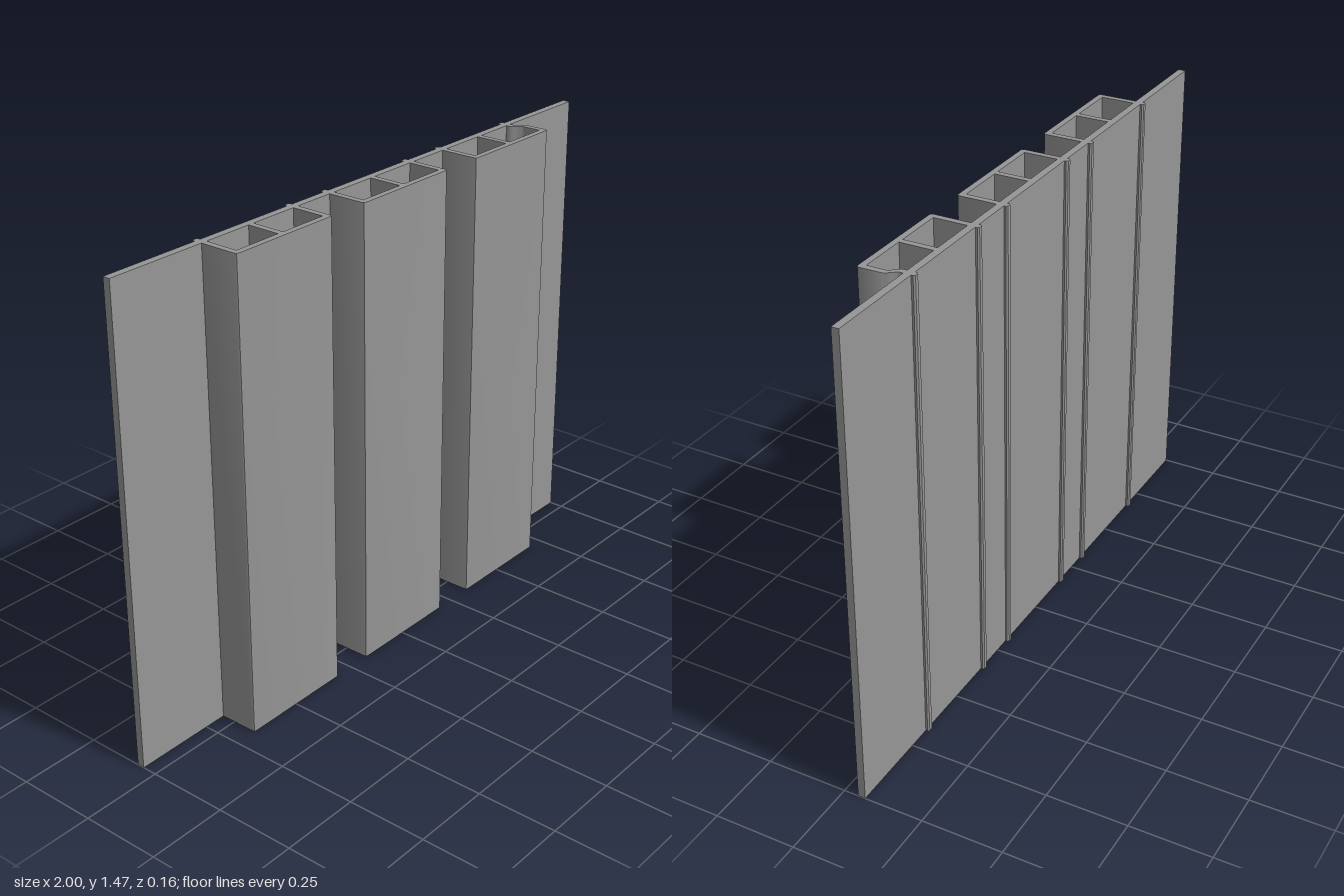
import * as THREE from 'three';
import { toCreasedNormals } from 'three/addons/utils/BufferGeometryUtils.js';

const HEIGHT = 1.465;
const BACK = -0.068, FACE = -0.045, FRONT = 0.079; // depth of the sheet and channel faces
const WALL = 0.019;

export function createModel() {
  const model = new THREE.Group();
  model.name = 'ribbedPanel';
  const grey = new THREE.MeshStandardMaterial({ color: 0x969696 });
  grey.name = 'grey';

  // Extrudes a plan-view outline of [x, z] points to the full height
  function addProfile(name, points) {
    const shape = new THREE.Shape(points.map(([x, z]) => new THREE.Vector2(x, -z)));
    const extruded = new THREE.ExtrudeGeometry(shape, { depth: HEIGHT, bevelEnabled: false });
    extruded.rotateX(-Math.PI / 2);
    const mesh = new THREE.Mesh(toCreasedNormals(extruded, 0.6), grey);
    mesh.name = name;
    model.add(mesh);
  }

  // Flat sheet
  addProfile('sheet', [[-1, BACK], [1, BACK], [1, FACE], [-1, FACE]]);

  // Channel: outer skin, then the two cells either side of a middle web.
  // bend(z) moves the left-hand wall inward near the sheet.
  function addChannel(name, x0, x1, web, bend) {
    const c = 0.008; // softened front corners
    const levels = bend ? [FACE, -0.035, -0.028, -0.02, -0.01, -0.003, 0.005] : [FACE];
    const wall = (x) => levels.map((z) => [x - (bend ? bend(z) : 0), z]);
    const inner = FRONT - WALL;
    addProfile(name, [
      [x0, FACE], [x0, FRONT - c], [x0 + c * 0.3, FRONT - c * 0.3], [x0 + c, FRONT],
      [x1 - c, FRONT], [x1 - c * 0.3, FRONT - c * 0.3], [x1, FRONT - c],
      ...wall(x1).reverse(),
      ...wall(x1 - WALL), [x1 - WALL, inner],
      [web + WALL / 2, inner], [web + WALL / 2, FACE],
      [web - WALL / 2, FACE], [web - WALL / 2, inner],
      [x0 + WALL, inner], [x0 + WALL, FACE],
    ]);
  }
  const sideStep = (z) => 0.025 * (1 - THREE.MathUtils.smoothstep(z, -0.038, 0.005));
  addChannel('rightChannel', -0.68, -0.308, -0.494);
  addChannel('middleChannel', -0.177, 0.197, 0.01);
  addChannel('leftChannel', 0.334, 0.7, 0.517, sideStep);

  // Narrow rounded ribs on the back, in line with the channel walls
  for (const x of [-0.671, -0.317, -0.167, 0.188, 0.343, 0.666]) {
    addProfile('backRib', [
      [x - 0.01, BACK], [x - 0.01, -0.074], [x - 0.006, -0.079],
      [x + 0.006, -0.079], [x + 0.01, -0.074], [x + 0.01, BACK],
    ]);
  }
  return model;
}
